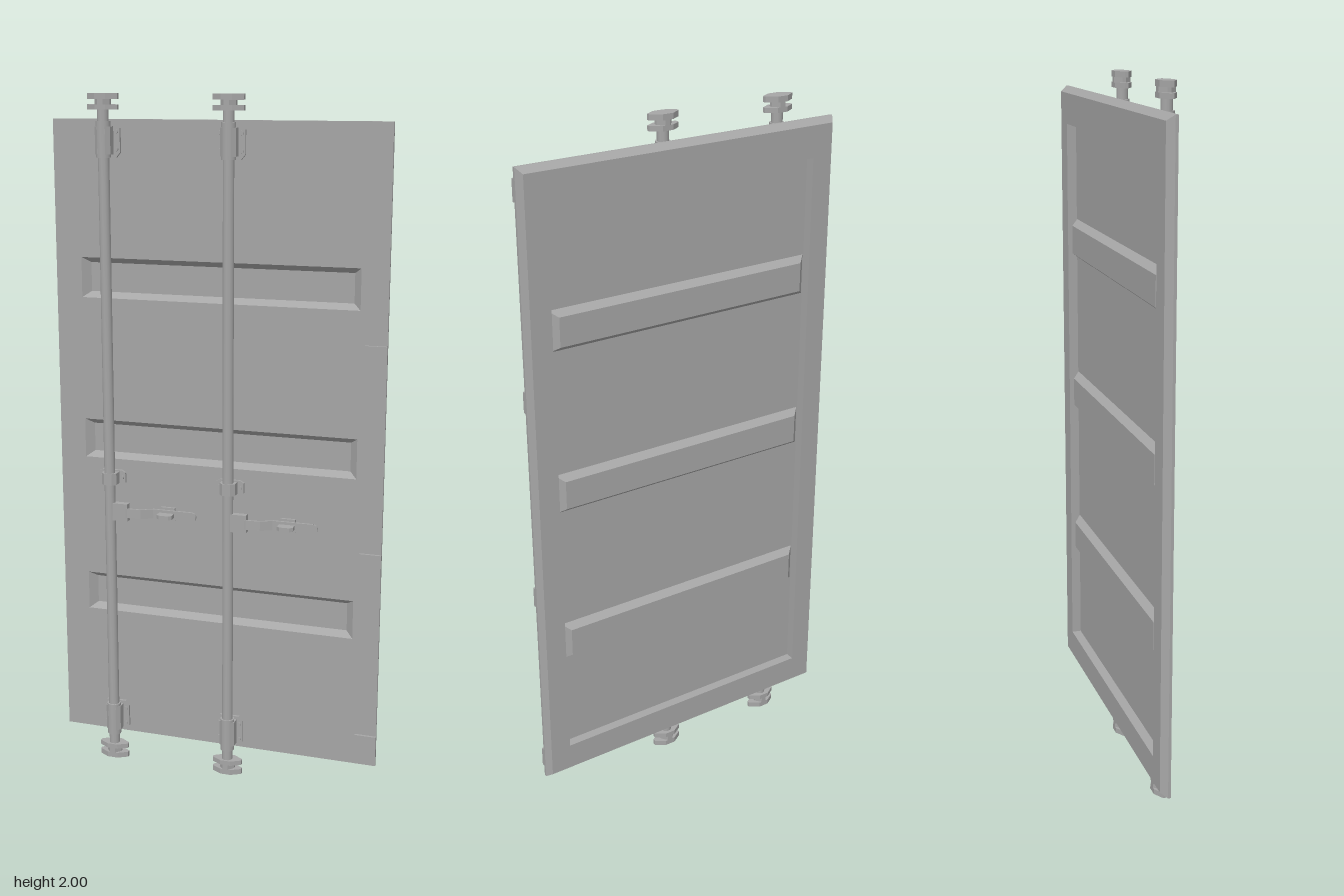
import * as THREE from 'three';

const steel = new THREE.MeshStandardMaterial({ color: 0xa6a6a6, side: THREE.DoubleSide });
steel.name = 'grey steel';

const FRONT = -0.012, BACK = -0.04;

function add(parent, name, geometry, x = 0, y = 0, z = 0) {
  const mesh = new THREE.Mesh(geometry, steel);
  mesh.name = name;
  mesh.position.set(x, y, z);
  parent.add(mesh);
  return mesh;
}

function box(parent, name, x0, x1, y0, y1, z0, z1) {
  return add(parent, name, new THREE.BoxGeometry(x1 - x0, y1 - y0, z1 - z0),
    (x0 + x1) / 2, (y0 + y1) / 2, (z0 + z1) / 2);
}

// Corners of a rectangle given as [half width, bottom, top, z]
const corners = ([w, y0, y1, z]) => [[-w, y0, z], [w, y0, z], [w, y1, z], [-w, y1, z]];

// Flat-sided walls joining successive rectangles
function rectLoft(rects) {
  const pos = [];
  for (let i = 0; i < rects.length - 1; i++) {
    const a = corners(rects[i]), b = corners(rects[i + 1]);
    for (let k = 0; k < 4; k++) {
      const n = (k + 1) % 4;
      pos.push(...b[k], ...b[n], ...a[n], ...b[k], ...a[n], ...a[k]);
    }
  }
  const g = new THREE.BufferGeometry();
  g.setAttribute('position', new THREE.Float32BufferAttribute(pos, 3));
  g.computeVertexNormals();
  return g;
}

const rectPoints = (w, y0, y1) => corners([w, y0, y1, 0]).map(([x, y]) => new THREE.Vector2(x, y));

// Plan outline of [x, z] points extruded upwards from y0 to y1
function planExtrude(points, y0, y1) {
  const shape = new THREE.Shape(points.map(([x, z]) => new THREE.Vector2(x, -z)));
  return new THREE.ExtrudeGeometry(shape, { depth: y1 - y0, bevelEnabled: false })
    .rotateX(-Math.PI / 2).translate(0, y0, 0);
}

function makePanel() {
  const panel = new THREE.Group();
  panel.name = 'doorPanel';
  // Bevelled rim with the rear opening
  add(panel, 'rim', rectLoft([
    [0.49, 0.075, 1.93, FRONT], [0.49, 0.075, 1.93, -0.02],
    [0.477, 0.09, 1.915, BACK], [0.415, 0.17, 1.825, BACK], [0.415, 0.17, 1.825, FRONT],
  ]));
  // Front sheet with three pressed channels that show as ribs behind
  const sheet = new THREE.Shape(rectPoints(0.49, 0.075, 1.93));
  for (const y of [0.525, 1.005, 1.483]) {
    const outer = [0.412, y - 0.058, y + 0.058], inner = [0.39, y - 0.042, y + 0.042];
    sheet.holes.push(new THREE.Path(rectPoints(...outer).reverse()));
    add(panel, 'channelWalls', rectLoft([[...inner, -0.033], [...outer, FRONT]]));
    add(panel, 'channelFloor', new THREE.ShapeGeometry(new THREE.Shape(rectPoints(...inner))), 0, 0, -0.033);
  }
  add(panel, 'frontSheet', new THREE.ShapeGeometry(sheet), 0, 0, FRONT);
  // Hinge leaves along the left edge
  for (const y of [0.14, 0.7, 1.3, 1.87]) box(panel, 'hingeLeaf', 0.427, 0.491, y - 0.03, y + 0.03, FRONT, -0.004);
  return panel;
}

const lens = [[-0.045, 0.008], [-0.045, 0.018], [-0.016, 0.035], [0.016, 0.035],
  [0.045, 0.018], [0.045, 0.008], [0.016, -0.011], [-0.016, -0.011]];

function makeBracket(y, half) {
  const g = new THREE.Group();
  g.name = 'rodBracket';
  const c = half * 0.3, w = 0.042;
  const plate = new THREE.Shape([[-w, -half + c], [-w + 0.012, -half], [w - 0.012, -half], [w, -half + c],
    [w, half - c], [w - 0.012, half], [-w + 0.012, half], [-w, half - c]].map(p => new THREE.Vector2(...p)));
  add(g, 'basePlate', new THREE.ExtrudeGeometry(plate, { depth: 0.008, bevelEnabled: false }), 0, 0, FRONT);
  // Clamp around the rod
  add(g, 'clamp', planExtrude([[-0.023, -0.005], [-0.023, 0.02], [-0.012, 0.031], [0.012, 0.031],
    [0.023, 0.02], [0.023, -0.005]], -half * 0.8, half * 0.8));
  for (const sx of [-1, 1]) for (const sy of half > 0.03 ? [-1, 1] : [0]) {
    add(g, 'bolt', new THREE.CylinderGeometry(0.006, 0.006, 0.006, 6).rotateX(Math.PI / 2), sx * 0.032, sy * half * 0.5, -0.002);
  }
  g.position.y = y;
  return g;
}

function makeLockRod(x) {
  const rod = new THREE.Group();
  rod.name = 'lockRod';
  add(rod, 'bar', new THREE.CylinderGeometry(0.016, 0.016, 1.98, 12), 0, 1, 0.014);

  // Cam ends and brackets, mirrored top and bottom
  for (const s of [-1, 1]) {
    const at = d => 1 + s * d;
    const span = (d0, d1) => [Math.min(at(d0), at(d1)), Math.max(at(d0), at(d1))];
    add(rod, 'camFlange', planExtrude(lens, ...span(0.984, 1)));
    add(rod, 'camFlange', planExtrude(lens, ...span(0.956, 0.97)));
    add(rod, 'camCore', planExtrude(lens.map(([a, b]) => [a * 0.5, b]), ...span(0.956, 1)));
    add(rod, 'collar', new THREE.CylinderGeometry(0.021, 0.021, 0.1, 12), 0, at(0.875), 0.014);
    rod.add(makeBracket(at(0.872), 0.048));
  }
  rod.add(makeBracket(0.893, 0.022));

  // Handle lug, cranked handle and its rounded tip
  box(rod, 'handleLug', 0.01, 0.058, 0.767, 0.82, 0.005, 0.025);
  const crank = [[0.04, 0.014], [0.058, 0.02], [0.1, 0.018], [0.133, -0.001], [0.253, -0.001]];
  const t = 0.007;
  add(rod, 'handle', planExtrude([...crank, ...crank.map(([a, b]) => [a, b + t]).reverse()], 0.779, 0.807));
  add(rod, 'handleTip', new THREE.CylinderGeometry(0.014, 0.014, t, 12).rotateX(Math.PI / 2), 0.252, 0.793, 0.0025);

  // Handle retainer with a thin catch
  box(rod, 'retainerPlate', 0.153, 0.197, 0.773, 0.813, FRONT, -0.004);
  add(rod, 'retainerCatch', planExtrude([[0.153, -0.006], [0.151, 0.028], [0.16, 0.036],
    [0.19, 0.036], [0.199, 0.028], [0.197, -0.006]], 0.787, 0.799));
  rod.position.x = x;
  return rod;
}

export function createModel() {
  const model = new THREE.Group();
  model.name = 'containerDoor';
  model.add(makePanel());
  for (const x of [-0.326, 0.041]) model.add(makeLockRod(x));
  return model;
}
